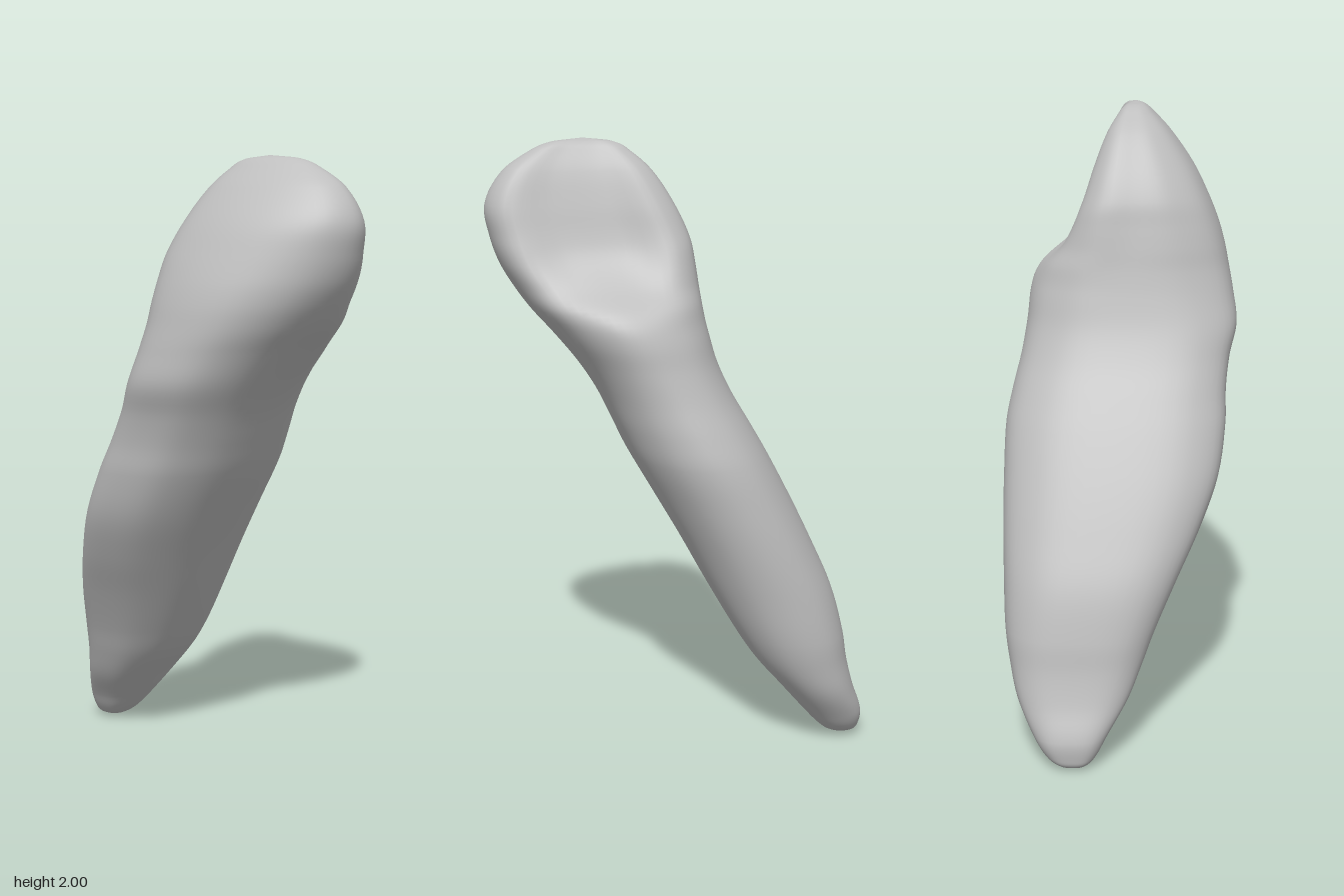
import * as THREE from 'three';
import { mergeVertices } from 'three/addons/utils/BufferGeometryUtils.js';

// Extents of each level: y, min x, max x, front z, back z
const LEVELS = [
  [0, 0.15, 0.15, -0.55, -0.55],
  [0.012, 0.11, 0.2, -0.5, -0.585],
  [0.04, 0.08, 0.24, -0.46, -0.598],
  [0.1, 0.045, 0.28, -0.405, -0.6],
  [0.2, -0.02, 0.33, -0.32, -0.565],
  [0.3, -0.065, 0.355, -0.235, -0.54],
  [0.4, -0.105, 0.37, -0.17, -0.525],
  [0.55, -0.175, 0.376, -0.085, -0.488],
  [0.7, -0.25, 0.38, -0.005, -0.425],
  [0.85, -0.31, 0.38, 0.08, -0.355],
  [1.0, -0.335, 0.375, 0.165, -0.278],
  [1.1, -0.338, 0.355, 0.212, -0.222],
  [1.2, -0.352, 0.33, 0.26, -0.165],
  [1.3, -0.378, 0.315, 0.325, -0.12],
  [1.4, -0.368, 0.305, 0.405, -0.09],
  [1.48, -0.355, 0.275, 0.475, -0.072],
  [1.55, -0.342, 0.208, 0.525, -0.06],
  [1.62, -0.322, 0.16, 0.565, -0.047],
  [1.7, -0.29, 0.124, 0.592, -0.03],
  [1.8, -0.24, 0.09, 0.605, 0.015],
  [1.9, -0.17, 0.05, 0.55, 0.08],
  [1.96, -0.115, 0.013, 0.465, 0.145],
  [1.99, -0.08, -0.015, 0.39, 0.2],
  [2, -0.05, -0.05, 0.29, 0.29],
];

// Unit outlines, from the front round by +x to the back
const ROOT = [[0, 1], [0.5, 0.9], [0.86, 0.53], [1, 0], [0.9, -0.55], [0.57, -0.9],
  [0, -1], [-0.62, -0.92], [-0.94, -0.58], [-1, 0], [-0.88, 0.53], [-0.52, 0.9]];
const NECK = [[0.2, 1], [0.68, 0.76], [0.95, 0.3], [0.98, -0.15], [0.85, -0.63], [0.55, -0.93],
  [0.1, -1], [-0.5, -0.94], [-0.9, -0.65], [-1, -0.12], [-0.85, 0.44], [-0.44, 0.86]];
const CROWN = [[0.28, 1], [0.8, 0.82], [0.78, 0.3], [0.82, -0.3], [1, -0.77], [0.78, -0.98],
  [0.2, -1], [-0.38, -0.95], [-0.85, -0.72], [-1, -0.25], [-0.81, 0.34], [-0.35, 0.82]];

const AROUND = 60, STEPS = 5;

// Smooth interpolation between neighbouring levels
function levelAt(k, t) {
  const at = (i) => LEVELS[THREE.MathUtils.clamp(i, 0, LEVELS.length - 1)];
  const p = at(k - 1), a = at(k), b = at(k + 1), n = at(k + 2);
  const h = b[0] - a[0];
  return a.map((v, c) => {
    if (c === 0) return v + h * t;
    const m0 = k > 0 ? (b[c] - p[c]) / (b[0] - p[0]) * h : b[c] - v;
    const m1 = k < LEVELS.length - 2 ? (n[c] - v) / (n[0] - a[0]) * h : b[c] - v;
    const t2 = t * t, t3 = t2 * t;
    return (2 * t3 - 3 * t2 + 1) * v + (t3 - 2 * t2 + t) * m0 + (3 * t2 - 2 * t3) * b[c] + (t3 - t2) * m1;
  });
}

// Flat-backed root outline, bulging neck, then the scooped blade of the crown
function ring([y, x0, x1, z0, z1]) {
  const { lerp, smoothstep } = THREE.MathUtils;
  const toNeck = smoothstep(y, 1.15, 1.46), toCrown = smoothstep(y, 1.42, 1.68);
  const mix = (i, c) => lerp(lerp(ROOT[i][c], NECK[i][c], toNeck), CROWN[i][c], toCrown);
  const outline = new THREE.CatmullRomCurve3(
    ROOT.map((_, i) => new THREE.Vector3(mix(i, 0), 0, mix(i, 1))), true);
  const points = [];
  for (let i = 0; i < AROUND; i++) {
    const p = outline.getPoint(i / AROUND);
    points.push((x0 + x1) / 2 + p.x * (x1 - x0) / 2, y, (z0 + z1) / 2 + p.z * (z0 - z1) / 2);
  }
  return points;
}

function toothGeometry() {
  const position = [], index = [];
  const rows = (LEVELS.length - 1) * STEPS;
  for (let r = 0; r <= rows; r++) {
    const k = Math.min(Math.floor(r / STEPS), LEVELS.length - 2);
    position.push(...ring(levelAt(k, r / STEPS - k)));
    if (r === rows) break;
    // The first and last rings close to a point, so they need one triangle per side
    for (let i = 0; i < AROUND; i++) {
      const a = r * AROUND + i, b = r * AROUND + (i + 1) % AROUND;
      if (r > 0) index.push(a, b, b + AROUND);
      if (r < rows - 1) index.push(a, b + AROUND, a + AROUND);
    }
  }
  const geometry = new THREE.BufferGeometry();
  geometry.setAttribute('position', new THREE.Float32BufferAttribute(position, 3));
  geometry.setIndex(index);
  const merged = mergeVertices(geometry, 1e-5);
  merged.computeVertexNormals();
  return merged;
}

export function createModel() {
  const group = new THREE.Group();
  group.name = 'tooth';
  const enamel = new THREE.MeshStandardMaterial({ color: 0xbebebe });
  enamel.name = 'grey enamel';
  const tooth = new THREE.Mesh(toothGeometry(), enamel);
  tooth.name = 'crownAndRoot';
  group.add(tooth);
  return group;
}
